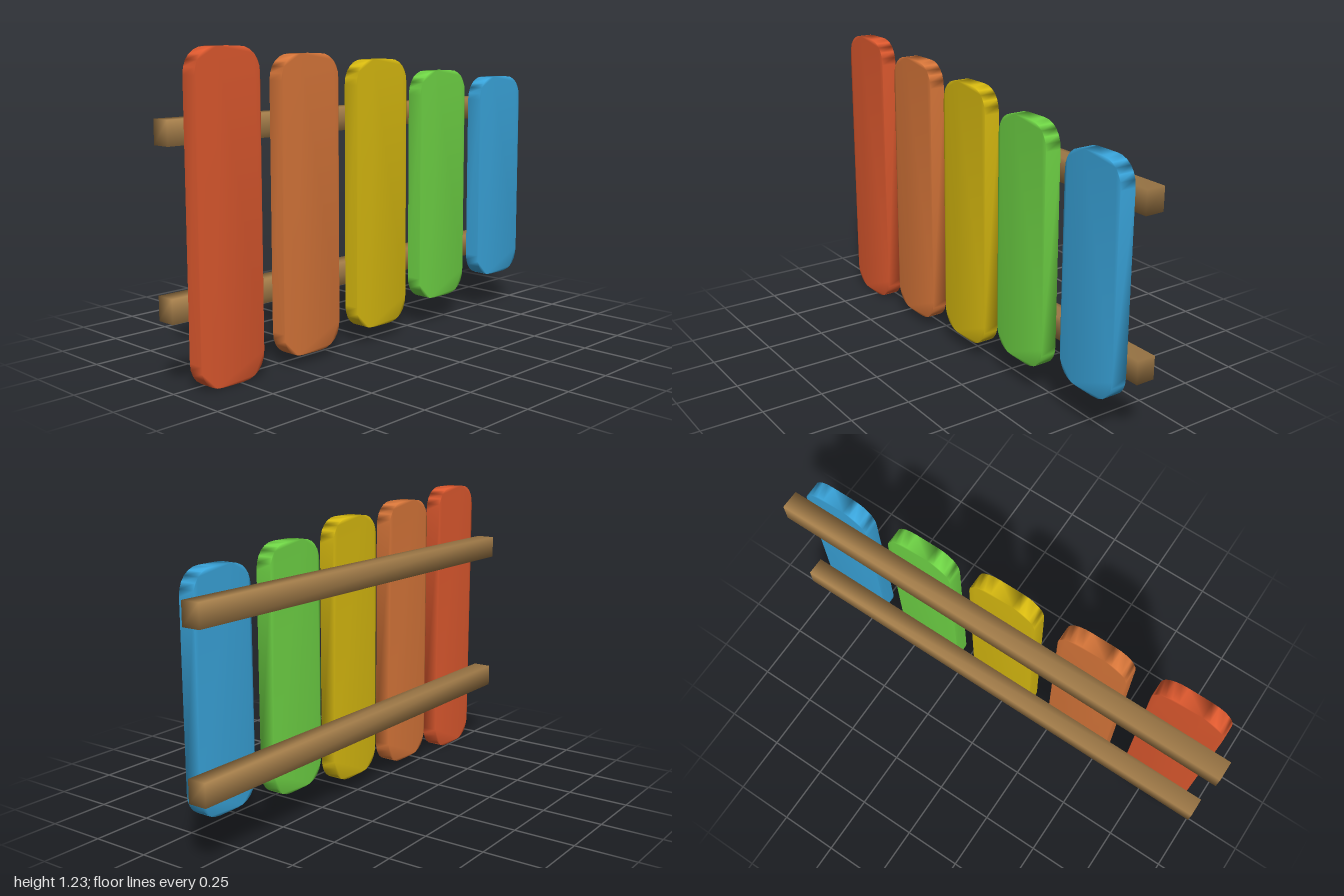
import * as THREE from 'three';
import { mergeVertices } from 'three/addons/utils/BufferGeometryUtils.js';

const paint = (name, color) => {
  const m = new THREE.MeshStandardMaterial({ color });
  m.name = name;
  return m;
};

// Share corner vertices so that the normals blend softly over every edge
function soften(geometry) {
  geometry.deleteAttribute('uv');
  geometry.deleteAttribute('normal');
  const merged = mergeVertices(geometry, 1e-4);
  merged.computeVertexNormals();
  return merged;
}

// Upright bar with rounded ends, centred on its own origin
function barGeometry(width, height, depth, radius) {
  const w = width / 2, h = height / 2, r = radius;
  const s = new THREE.Shape();
  s.moveTo(-w, h - r);
  s.lineTo(-w, -h + r);
  s.bezierCurveTo(-w, -h + r * 0.4, -w + r * 0.4, -h, -w + r, -h);
  s.lineTo(w - r, -h);
  s.bezierCurveTo(w - r * 0.4, -h, w, -h + r * 0.4, w, -h + r);
  s.lineTo(w, h - r);
  s.bezierCurveTo(w, h - r * 0.4, w - r * 0.4, h, w - r, h);
  s.lineTo(-w + r, h);
  s.bezierCurveTo(-w + r * 0.4, h, -w, h - r * 0.4, -w, h - r);
  const g = new THREE.ExtrudeGeometry(s, { depth, bevelEnabled: false, curveSegments: 6 });
  return soften(g.translate(0, 0, -depth / 2));
}

export function createModel() {
  const model = new THREE.Group();
  model.name = 'xylophone';

  const add = (name, geometry, material, x, y, z) => {
    const mesh = new THREE.Mesh(geometry, material);
    mesh.name = name;
    mesh.position.set(x, y, z);
    model.add(mesh);
  };

  // Two wooden rails behind the bars
  const wood = paint('wood', 0xa67f4b);
  const rail = soften(new THREE.BoxGeometry(2, 0.093, 0.08));
  add('lowerRail', rail, wood, 0, 0.302, -0.033);
  add('upperRail', rail, wood, 0, 0.934, -0.033);

  // Five sounding bars, longest to shortest: name, colour, x, bottom, top
  const bars = [
    ['red', 0xe05a2f, -0.783, 0, 1.231],
    ['orange', 0xd9773a, -0.387, 0.035, 1.198],
    ['yellow', 0xd9bb10, 0.008, 0.066, 1.168],
    ['green', 0x70d646, 0.393, 0.121, 1.112],
    ['blue', 0x3aa6dd, 0.796, 0.161, 1.073],
  ];
  for (const [name, color, x, bottom, top] of bars) {
    add(name + 'Bar', barGeometry(0.295, top - bottom, 0.066, 0.1),
      paint(name, color), x, (top + bottom) / 2, 0.04);
  }
  return model;
}
